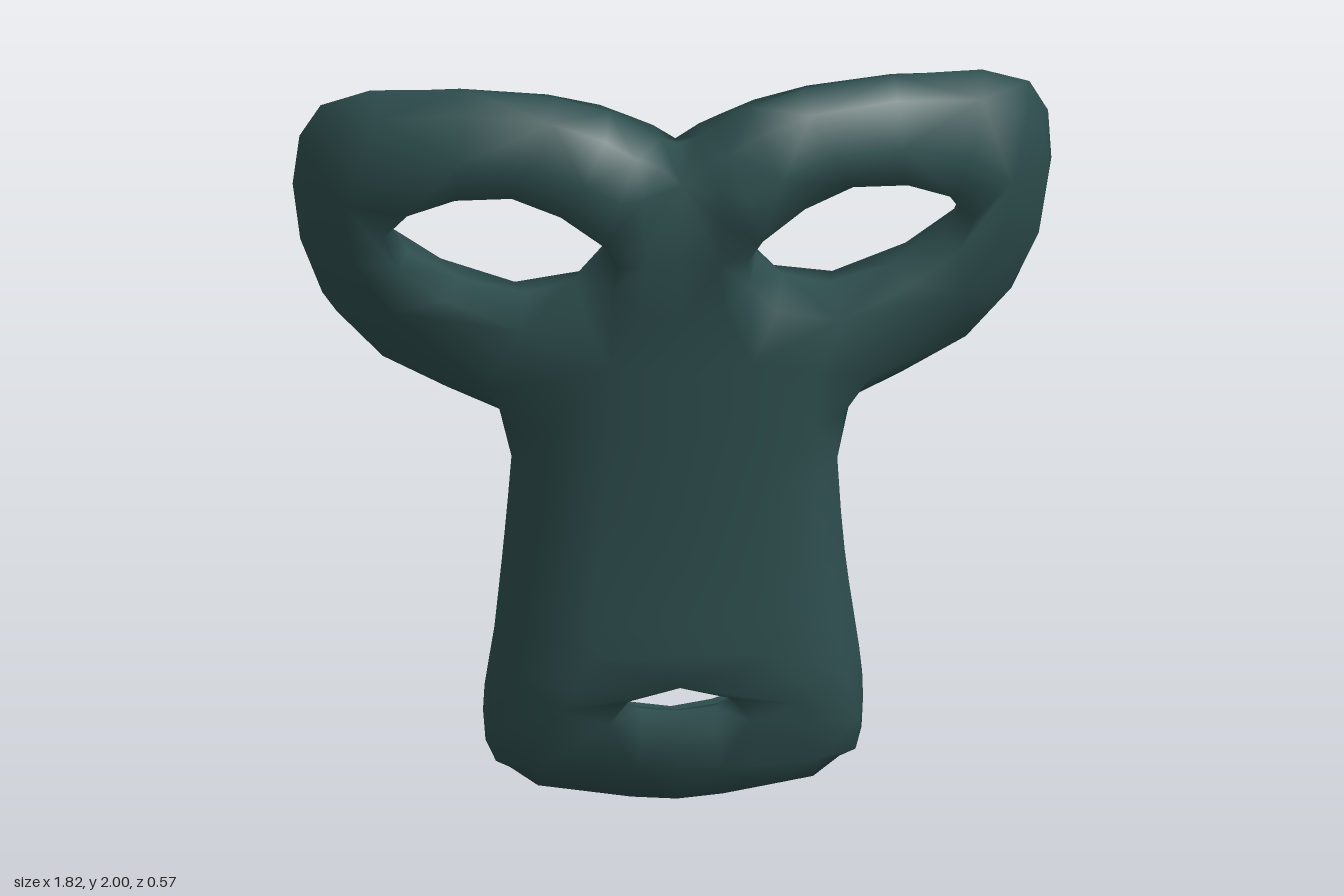
import * as THREE from 'three';

// Each entry: outer (front) point, inner (back) point, for the model's left half
const browPoints = {
  c0: [[0, 1.81, 0.23], [0, 1.8, -0.015]],
  c1: [[0, 1.42, 0.21], [0, 1.42, -0.06]],
  i0: [[0.19, 1.67, 0.27], [0.19, 1.67, -0.01]],
  i1: [[0.41, 1.79, 0.23], [0.41, 1.79, 0.02]],
  i2: [[0.655, 1.71, 0.16], [0.655, 1.71, -0.04]],
  i3: [[0.675, 1.53, 0.1], [0.675, 1.53, -0.1]],
  i4: [[0.38, 1.38, 0.16], [0.38, 1.38, -0.08]],
  i5: [[0.165, 1.52, 0.215], [0.165, 1.52, -0.02]],
  oa: [[0.11, 1.89, 0.24], [0.11, 1.88, 0.01]],
  o1: [[0.31, 1.98, 0.21], [0.31, 1.97, 0.05]],
  o2: [[0.73, 1.945, 0.1], [0.72, 1.93, -0.06]],
  op: [[0.885, 1.79, 0], [0.87, 1.78, -0.14]],
  o3: [[0.875, 1.48, -0.06], [0.84, 1.47, -0.25]],
  on: [[0.7, 1.205, -0.05], [0.68, 1.23, -0.22]],
  o4: [[0.42, 1.06, -0.03], [0.38, 1.09, -0.17]],
};
const bodyPoints = {
  c2: [[0, 1.08, 0.185], [0, 1.08, -0.11]],
  q0: [[0.32, 1.08, 0.14], [0.27, 1.1, -0.16]],
  sn: [[0.385, 0.95, -0.08], [0.35, 0.95, -0.18]],
  c3: [[0, 0.74, 0.16], [0, 0.74, -0.13]],
  q1: [[0.35, 0.74, 0.11], [0.26, 0.74, -0.2]],
  s1: [[0.39, 0.74, -0.17], [0.35, 0.74, -0.235]],
  cl: [[0, 0.55, 0.155], [0, 0.52, -0.14]],
  ql: [[0.37, 0.55, 0.1], [0.26, 0.52, -0.22]],
  sl: [[0.405, 0.53, -0.2], [0.345, 0.52, -0.265]],
};
const chinPoints = {
  c4: [[0, 0.375, 0.15], [0, 0.42, 0.03]],
  q2: [[0.4, 0.36, 0.08], [0.29, 0.42, -0.04]],
  s2: [[0.42, 0.34, -0.21], [0.335, 0.33, -0.265]],
  m: [[0.17, 0.26, 0.12], [0.17, 0.28, 0]],
  c5: [[0, 0.25, 0.135], [0, 0.24, 0.02]],
  s3: [[0.44, 0.205, 0.02], [0.3, 0.24, -0.05]],
  c6: [[0, 0.005, 0.04], [0, 0.15, -0.02]],
  e: [[0.22, 0.025, 0.02], [0.2, 0.16, -0.04]],
  s4: [[0.395, 0.06, -0.04], [0.31, 0.18, -0.08]],
  f0: [[0, 0.09, -0.16], [0, 0.14, -0.17]],
  f1: [[0.2, 0.11, -0.19], [0.19, 0.17, -0.2]],
  s5: [[0.4, 0.17, -0.22], [0.335, 0.2, -0.25]],
};
// Outer faces of the left half, counter-clockwise; gaps are the eye and mouth holes
const halfFaces = [
  'c0 i0 oa', 'oa i0 i1 o1', 'o1 i1 i2 o2', 'o2 i2 i3 o3 op', 'o3 i3 i4 on', 'on i4 q0 o4',
  'c0 c1 i5 i0', 'c1 c2 q0 i4 i5',
  'c2 c3 q1 q0', 'q0 q1 s1 sn o4', 'c3 cl ql q1', 'q1 ql sl s1', 'cl c4 q2 ql', 'ql q2 s2 sl',
  'c4 m s3 q2', 'q2 s3 s5 s2', 'c5 c6 e m', 'm e s4 s3', 's3 s4 s5', 'c6 f0 f1 e', 'e f1 s5 s4',
];

// Mirror the half, double it into outer and inner skins and stitch the rims
function buildCage() {
  const points = [], left = {}, right = {};
  const add = (pair, sign) => {
    for (const [x, y, z] of pair) points.push(new THREE.Vector3(x * sign, y, z));
    return points.length - 2;
  };
  for (const [name, pair] of Object.entries({ ...browPoints, ...bodyPoints, ...chinPoints })) {
    left[name] = add(pair, 1);
    right[name] = pair[0][0] === 0 ? left[name] : add(pair, -1);
  }
  const outer = [];
  for (const line of halfFaces) {
    const names = line.split(' ');
    outer.push(names.map((n) => left[n]), names.map((n) => right[n]).reverse());
  }
  const edges = new Set();
  const eachEdge = (f, fn) => f.forEach((a, i) => fn(a, f[(i + 1) % f.length]));
  outer.forEach((f) => eachEdge(f, (a, b) => edges.add(a + '_' + b)));
  const faces = [...outer, ...outer.map((f) => f.map((i) => i + 1).reverse())];
  outer.forEach((f) => eachEdge(f, (a, b) => {
    if (!edges.has(b + '_' + a)) faces.push([b, a, a + 1, b + 1]);
  }));
  return { points, faces };
}

// One Catmull-Clark step on a closed mesh; moved corners come first in the result
function subdivide(points, faces) {
  const mean = (list) => list.reduce((s, p) => s.add(p), new THREE.Vector3()).divideScalar(list.length);
  const centres = faces.map((f) => mean(f.map((i) => points[i])));
  const edges = new Map();
  const key = (a, b) => Math.min(a, b) + '_' + Math.max(a, b);
  const around = points.map(() => ({ faces: [], mids: [] }));
  faces.forEach((f, k) => f.forEach((a, i) => {
    const b = f[(i + 1) % f.length];
    around[a].faces.push(centres[k]);
    if (!edges.has(key(a, b))) {
      edges.set(key(a, b), { id: points.length + edges.size, a, b, sides: [] });
      const mid = mean([points[a], points[b]]);
      around[a].mids.push(mid);
      around[b].mids.push(mid);
    }
    edges.get(key(a, b)).sides.push(centres[k]);
  }));
  const corners = points.map((p, i) => {
    const n = around[i].faces.length;
    return mean(around[i].faces).addScaledVector(mean(around[i].mids), 2)
      .addScaledVector(p, n - 3).divideScalar(n);
  });
  const edgePoints = [...edges.values()].map((e) => mean([points[e.a], points[e.b], ...e.sides]));
  const firstCentre = points.length + edges.size;
  const quads = [];
  faces.forEach((f, k) => f.forEach((a, i) => {
    const next = f[(i + 1) % f.length], prev = f[(i + f.length - 1) % f.length];
    quads.push([a, edges.get(key(a, next)).id, firstCentre + k, edges.get(key(prev, a)).id]);
  }));
  return { points: [...corners, ...edgePoints, ...centres], faces: quads };
}

export function createModel() {
  const { points: targets, faces } = buildCage();

  // Swell the cage until the smoothed corners land on the wanted points
  const cage = targets.map((p) => p.clone());
  for (let step = 0; step < 5; step++) {
    const smooth = subdivide(cage, faces).points;
    cage.forEach((p, i) => p.add(targets[i]).sub(smooth[i]));
  }
  const mesh = subdivide(cage, faces);

  const geometry = new THREE.BufferGeometry().setFromPoints(mesh.points);
  geometry.setIndex(mesh.faces.flatMap(([a, b, c, d]) => [a, b, c, a, c, d]));
  geometry.computeVertexNormals();

  const darkTeal = new THREE.MeshStandardMaterial({ color: 0x2f4f4f });
  darkTeal.name = 'darkTeal';
  const mask = new THREE.Mesh(geometry, darkTeal);
  mask.name = 'maskShell';

  const group = new THREE.Group();
  group.name = 'mask';
  group.add(mask);
  return group;
}
